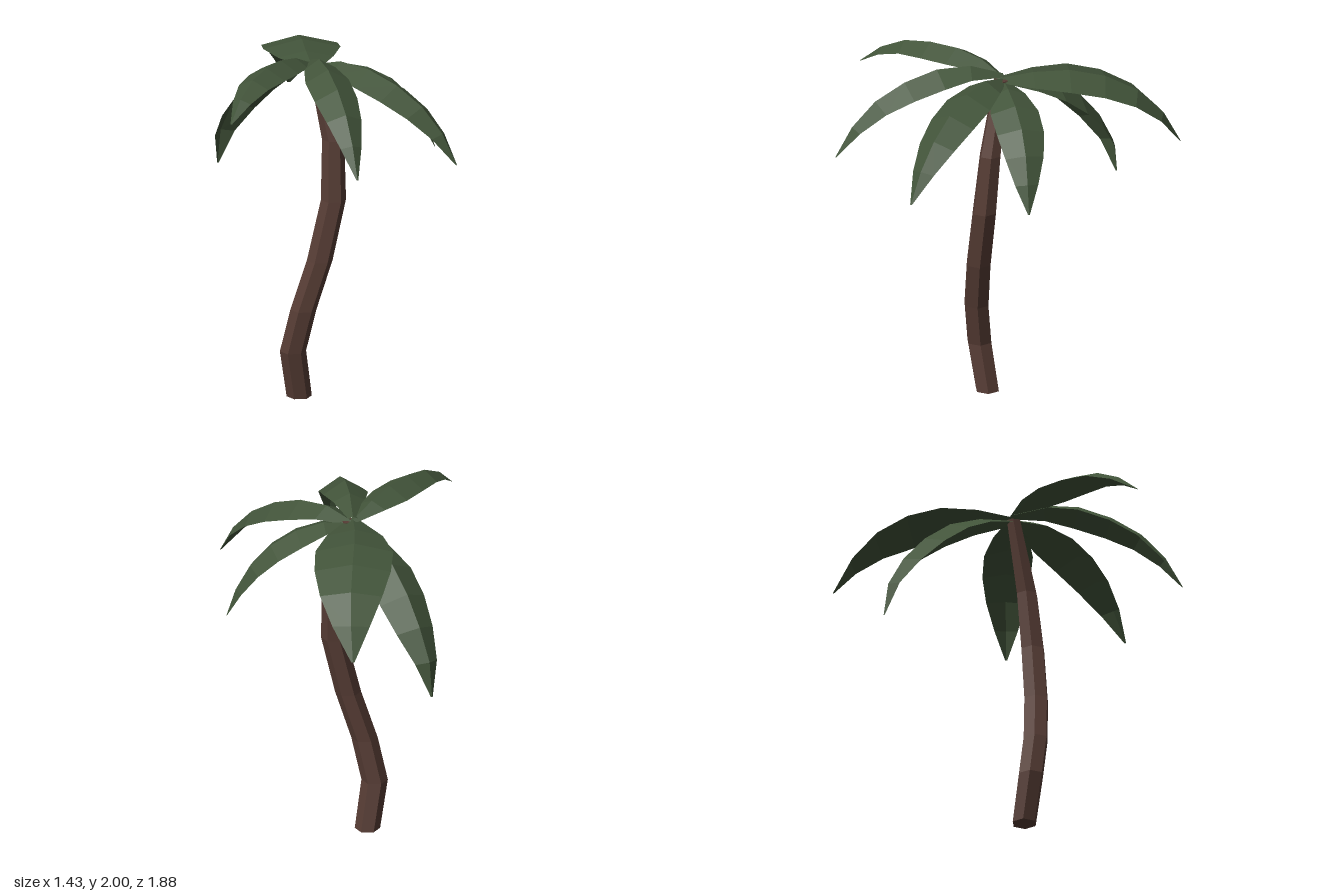
import * as THREE from 'three';

const bark = new THREE.MeshStandardMaterial({ color: 0x573d35, flatShading: true });
bark.name = 'brown bark';
const leafGreen = new THREE.MeshStandardMaterial({ color: 0x42543a, flatShading: true, side: THREE.DoubleSide });
leafGreen.name = 'leaf green';

// Joins equal-length cross-sections (arrays of Vector3) into one surface
function loft(sections, closed) {
  const n = sections[0].length, index = [];
  for (let i = 0; i < sections.length - 1; i++) {
    for (let j = 0; j < (closed ? n : n - 1); j++) {
      const a = i * n + j, b = i * n + (j + 1) % n;
      index.push(a, b, b + n, a, b + n, a + n);
    }
  }
  if (closed) {
    const top = (sections.length - 1) * n;
    for (let j = 1; j < n - 1; j++) index.push(0, j + 1, j, top, top + j, top + j + 1);
  }
  const geo = new THREE.BufferGeometry().setFromPoints(sections.flat());
  geo.setIndex(index);
  const flat = geo.toNonIndexed();
  flat.computeVertexNormals();
  return flat;
}

// Six-sided trunk through bent ring centres: x, y, z, radius
function makeTrunk() {
  const rings = [
    [-0.08, 0, 0.053, 0.07], [-0.13, 0.275, 0.08, 0.073], [-0.083, 0.52, 0.117, 0.073],
    [0.005, 0.8, 0.14, 0.072], [0.088, 1.14, 0.14, 0.07], [0.1, 1.48, 0.11, 0.062], [0.035, 1.89, 0.02, 0.042],
  ];
  const sections = rings.map(([x, y, z, r]) => Array.from({ length: 6 }, (_, k) => {
    const a = 0.22 + k * Math.PI / 3;
    return new THREE.Vector3(x + r * Math.sin(a), y, z + r * Math.cos(a));
  }));
  const mesh = new THREE.Mesh(loft(sections, true), bark);
  mesh.name = 'trunk';
  return mesh;
}

// Leaf folded along its spine, both halves drooping from the ridge
const widths = [0.2, 0.72, 1, 0.98, 0.8, 0.48, 0.04];
function makeLeaf({ spine, half, droop }) {
  const curve = new THREE.CatmullRomCurve3(spine.map((p) => new THREE.Vector3(...p)));
  const tip = spine[spine.length - 1];
  const side = new THREE.Vector3(-tip[2], 0, tip[0]).normalize();
  const sections = widths.map((w, i) => {
    const t = i / (widths.length - 1);
    const p = curve.getPointAt(t);
    const down = new THREE.Vector3().crossVectors(curve.getTangentAt(t), side).normalize();
    if (down.y > 0) down.negate();
    return [1, 0, -1].map((s) => p.clone()
      .addScaledVector(side, s * w * half)
      .addScaledVector(down, Math.abs(s) * w * droop));
  });
  return new THREE.Mesh(loft(sections, false), leafGreen);
}

const leaves = [
  { name: 'frontRightLeaf', half: 0.115, droop: 0.06, spine: [
    [0.02, 1.9, 0], [-0.15, 1.98, 0.1], [-0.35, 2, 0.25], [-0.52, 1.97, 0.38], [-0.63, 1.9, 0.47], [-0.72, 1.8, 0.55]] },
  { name: 'frontLeaf', half: 0.125, droop: 0.075, spine: [
    [0.02, 1.92, 0], [-0.03, 1.99, 0.25], [-0.06, 1.95, 0.45], [-0.09, 1.86, 0.66], [-0.115, 1.7, 0.83], [-0.13, 1.51, 0.94]] },
  { name: 'frontLeftLeaf', half: 0.14, droop: 0.07, spine: [
    [0.02, 1.89, 0], [0.14, 1.94, 0.17], [0.27, 1.9, 0.36], [0.39, 1.8, 0.53], [0.48, 1.67, 0.66], [0.55, 1.46, 0.77]] },
  { name: 'leftLeaf', half: 0.135, droop: 0.05, spine: [
    [0.02, 1.88, 0], [0.2, 1.89, 0.04], [0.4, 1.82, 0.065], [0.55, 1.7, 0.09], [0.65, 1.54, 0.115], [0.71, 1.36, 0.13]] },
  { name: 'backLeftLeaf', half: 0.215, droop: 0.05, spine: [
    [0.01, 1.89, 0.03], [0.07, 1.92, -0.2], [0.13, 1.92, -0.38], [0.21, 1.86, -0.6], [0.28, 1.72, -0.8], [0.31, 1.48, -0.94]] },
  { name: 'backRightLeaf', half: 0.145, droop: 0.08, spine: [
    [0.01, 1.88, 0], [-0.07, 1.82, -0.28], [-0.12, 1.7, -0.47], [-0.16, 1.53, -0.63], [-0.195, 1.32, -0.745], [-0.2, 1.13, -0.77]] },
];

export function createModel() {
  const group = new THREE.Group();
  group.name = 'palmTree';
  group.add(makeTrunk());
  for (const leaf of leaves) {
    const mesh = makeLeaf(leaf);
    mesh.name = leaf.name;
    group.add(mesh);
  }
  return group;
}
